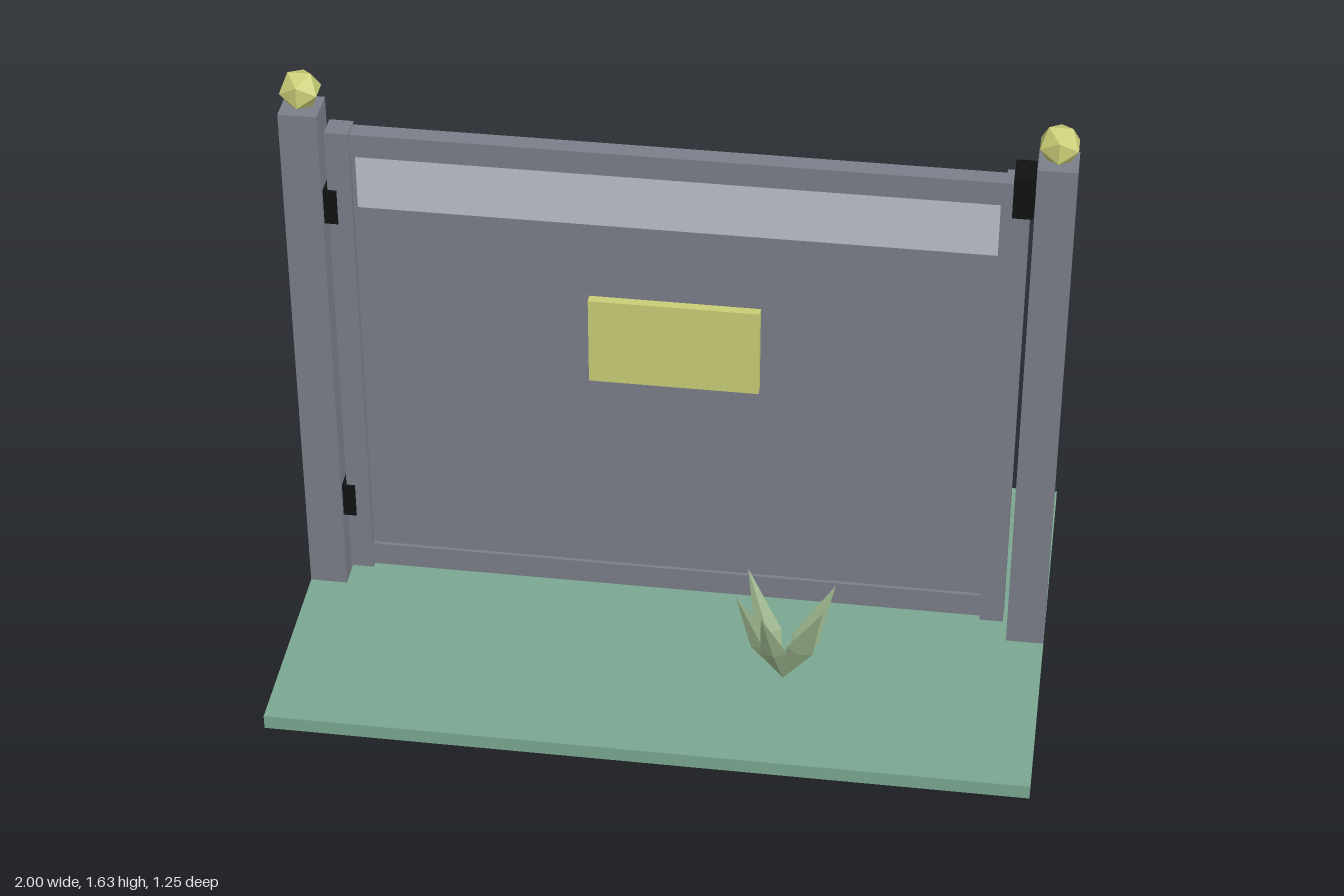
import * as THREE from 'three';

const mat = (name, color) => {
  const m = new THREE.MeshStandardMaterial({ color, flatShading: true });
  m.name = name;
  return m;
};

export function createModel() {
  const slate = mat('slate grey', 0x7a7e89);
  const pale = mat('pale grey', 0xb9bfca);
  const green = mat('lawn green', 0x7aa790);
  const yellow = mat('dull yellow', 0xc9cd76);
  const black = mat('black', 0x101113);
  const leafGreen = mat('leaf green', 0x9ab38a);

  const model = new THREE.Group();
  model.name = 'gardenGate';

  // Box given by its limits on each axis
  const box = (name, material, [x0, x1], [y0, y1], [z0, z1], parent = model) => {
    const mesh = new THREE.Mesh(new THREE.BoxGeometry(x1 - x0, y1 - y0, z1 - z0), material);
    mesh.position.set((x0 + x1) / 2, (y0 + y1) / 2, (z0 + z1) / 2);
    mesh.name = name;
    parent.add(mesh);
    return mesh;
  };

  box('ground', green, [-1, 1], [0, 0.04], [-0.625, 0.625]);

  // Posts with faceted finials
  for (const s of [-1, 1]) {
    const side = s > 0 ? 'left' : 'right';
    box(side + 'Post', slate, [s * 0.95 - 0.05, s * 0.95 + 0.05], [0.04, 1.53], [-0.05, 0.05]);
    const finial = new THREE.Mesh(new THREE.IcosahedronGeometry(0.056, 0), yellow);
    finial.position.set(s * 0.95, 1.578, 0);
    finial.name = side + 'Finial';
    model.add(finial);
  }

  // Gate leaf: stiles, rails and recessed panel
  const gate = new THREE.Group();
  gate.name = 'gate';
  model.add(gate);
  for (const s of [-1, 1]) {
    const cx = s * 0.857;
    box(s > 0 ? 'leftStile' : 'rightStile', slate, [cx - 0.031, cx + 0.031], [0.09, 1.475], [-0.033, 0.033], gate);
  }
  box('topRail', slate, [-0.826, 0.826], [1.405, 1.47], [-0.025, 0.025], gate);
  box('bottomRail', slate, [-0.826, 0.826], [0.097, 0.165], [-0.025, 0.025], gate);
  box('panel', slate, [-0.826, 0.826], [0.165, 1.405], [-0.015, 0.015], gate);
  box('window', pale, [-0.815, 0.815], [1.25, 1.405], [-0.018, 0.018], gate);
  box('plaque', yellow, [-0.222, 0.222], [0.78, 1.03], [0.015, 0.04], gate);

  // Hinges and latch
  for (const [name, y] of [['lowerHinge', 0.315], ['upperHinge', 1.255]]) {
    box(name, black, [-0.905, -0.865], [y - 0.05, y + 0.05], [-0.037, 0.037]);
  }
  box('latch', black, [0.845, 0.897], [1.38, 1.5], [-0.042, 0.042]);

  // Spiky plants: each leaf is a flattened four-sided spike leaning to its tip
  const plant = (name, x, z, halfWidth, tips) => {
    const group = new THREE.Group();
    group.name = name;
    group.position.set(x, 0.04, z);
    for (const tip of tips) {
      const d = new THREE.Vector3(...tip);
      const length = d.length();
      d.normalize();
      const profile = [[0, 0], [halfWidth, 0.42 * length], [0, length]].map(p => new THREE.Vector2(...p));
      const leaf = new THREE.Mesh(new THREE.LatheGeometry(profile, 4).scale(1, 1, 0.32), leafGreen);
      leaf.rotation.set(Math.atan2(d.z, d.y), 0, -Math.asin(d.x));
      leaf.name = 'leaf';
      group.add(leaf);
    }
    model.add(group);
  };
  plant('frontPlant', 0.326, 0.285, 0.036, [
    [-0.106, 0.295, -0.08], [0.129, 0.295, -0.04], [0.107, 0.295, 0.08],
    [-0.048, 0.295, 0.125], [-0.123, 0.295, 0.045],
  ]);
  plant('backPlant', -0.03, -0.215, 0.042, [
    [-0.085, 0.39, -0.15], [0.135, 0.39, -0.108], [0.165, 0.39, 0.018],
    [-0.013, 0.365, 0.172], [-0.165, 0.39, 0.018],
  ]);

  return model;
}
